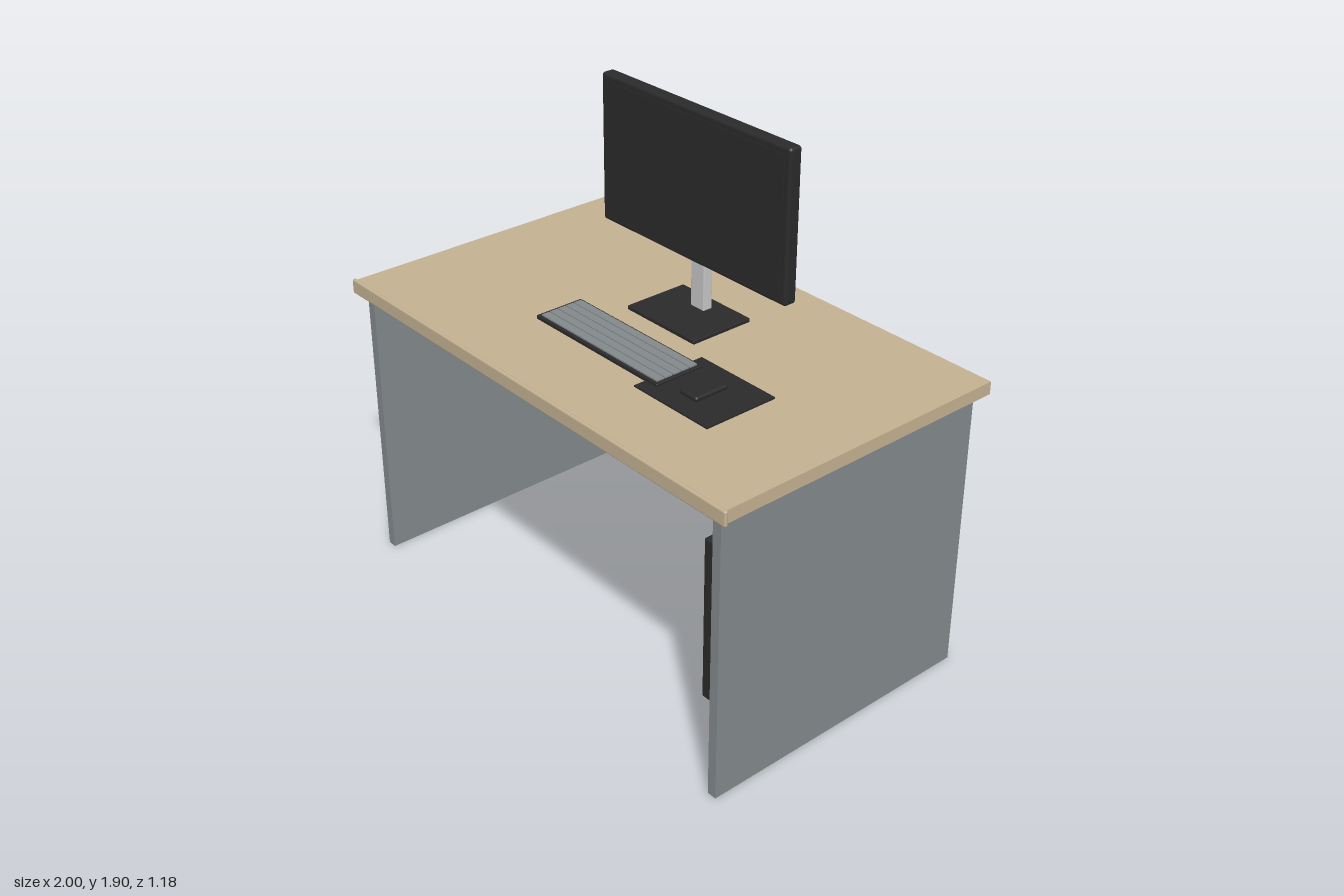
import * as THREE from 'three';
import { RoundedBoxGeometry } from 'three/addons/geometries/RoundedBoxGeometry.js';

const paint = (name, color) => {
  const m = new THREE.MeshStandardMaterial({ color });
  m.name = name;
  return m;
};

export function createModel() {
  const desk = new THREE.Group();
  desk.name = 'computerDesk';

  const wood = paint('lightWood', 0xc2b090);
  const grey = paint('panelGrey', 0x82888b);
  const black = paint('blackPlastic', 0x2a2a2a);
  const metal = paint('lightMetal', 0xc4c4c4);

  // Box given by its extents on each axis; radius > 0 rounds the edges
  const block = (name, material, [x0, x1], [y0, y1], [z0, z1], radius = 0, parent = desk) => {
    const size = [x1 - x0, y1 - y0, z1 - z0];
    const geometry = radius
      ? new RoundedBoxGeometry(...size, 3, radius)
      : new THREE.BoxGeometry(...size);
    const mesh = new THREE.Mesh(geometry, material);
    mesh.name = name;
    mesh.position.set((x0 + x1) / 2, (y0 + y1) / 2, (z0 + z1) / 2);
    parent.add(mesh);
    return mesh;
  };
  const section = (name) => {
    const g = new THREE.Group();
    g.name = name;
    desk.add(g);
    return g;
  };

  // Desk: top, rounded front edge, side panels and back panel
  block('deskTop', wood, [-0.99, 0.99], [1.088, 1.135], [-0.59, 0.576]);
  block('frontEdge', wood, [-1, 1], [1.083, 1.14], [0.575, 0.59], 0.007);
  for (const s of [-1, 1]) {
    const x = s * 0.932;
    block(s > 0 ? 'leftSidePanel' : 'rightSidePanel', grey, [x - 0.018, x + 0.018], [0, 1.088], [-0.558, 0.558]);
  }
  block('backPanel', grey, [-0.914, 0.914], [0.445, 1.03], [-0.535, -0.505]);

  // Monitor on its stand
  const monitor = section('monitor');
  block('standBase', black, [-0.175, 0.175], [1.135, 1.15], [-0.28, -0.02], 0.003, monitor);
  block('standPost', metal, [-0.034, 0.034], [1.15, 1.51], [-0.23, -0.19], 0.004, monitor);
  block('monitorHousing', black, [-0.467, 0.467], [1.345, 1.897], [-0.206, -0.153], 0.012, monitor);
  block('screen', black, [-0.442, 0.442], [1.37, 1.872], [-0.155, -0.151], 0, monitor);

  // Keyboard with long key rows
  const keyboard = section('keyboard');
  block('keyboardBase', black, [-0.323, 0.319], [1.135, 1.15], [0.07, 0.267], 0.004, keyboard);
  const pitch = 0.0355;
  for (let i = 0; i < 5; i++) {
    const z = 0.08 + i * pitch;
    block('keyRow', grey, [-0.307, 0.307], [1.149, 1.155], [z + 0.002, z + pitch - 0.002], 0, keyboard);
  }

  // Mouse and its mat
  block('mouseMat', black, [0.263, 0.615], [1.135, 1.141], [0.022, 0.315]);
  block('mouse', black, [0.393, 0.478], [1.138, 1.157], [0.095, 0.238], 0.009);

  // Computer case on the floor
  block('computerCase', black, [0.55, 0.842], [0.012, 0.671], [-0.41, 0.26], 0.007);

  return desk;
}
